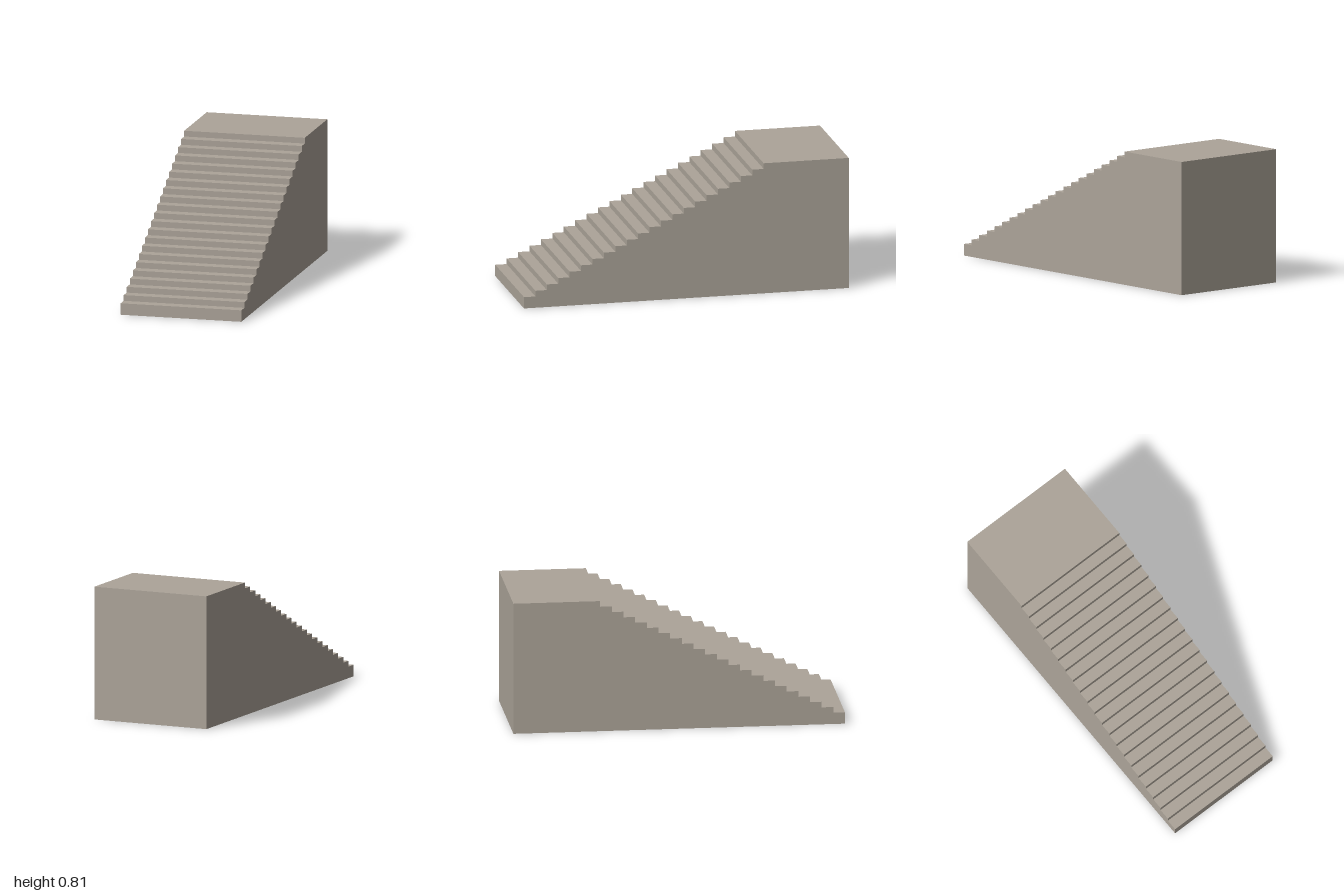
import * as THREE from 'three';

const WIDTH = 0.748;
const RUN = 0.0703; // tread depth
const RISE = 0.03515; // the first riser is twice as high
const TREADS = 21; // treads below the landing

export function createModel() {
  const group = new THREE.Group();
  group.name = 'staircase';
  const stone = new THREE.MeshStandardMaterial({ color: 0xaca499 });
  stone.name = 'warm grey stone';

  // Side profile: shape x runs from the front edge to the back
  const profile = new THREE.Shape();
  profile.moveTo(0, 0);
  profile.lineTo(2, 0);
  profile.lineTo(2, RISE * (TREADS + 2));
  for (let i = TREADS; i > 0; i--) {
    profile.lineTo(i * RUN, RISE * (i + 2));
    profile.lineTo(i * RUN, RISE * (i + 1));
  }
  profile.lineTo(0, RISE * 2);
  profile.closePath();

  // Solid flight of steps with the landing behind it
  const geometry = new THREE.ExtrudeGeometry(profile, { depth: WIDTH, bevelEnabled: false });
  geometry.translate(-1, 0, -WIDTH / 2);
  geometry.rotateY(Math.PI / 2);
  const steps = new THREE.Mesh(geometry, stone);
  steps.name = 'stepsAndLanding';
  group.add(steps);
  return group;
}
